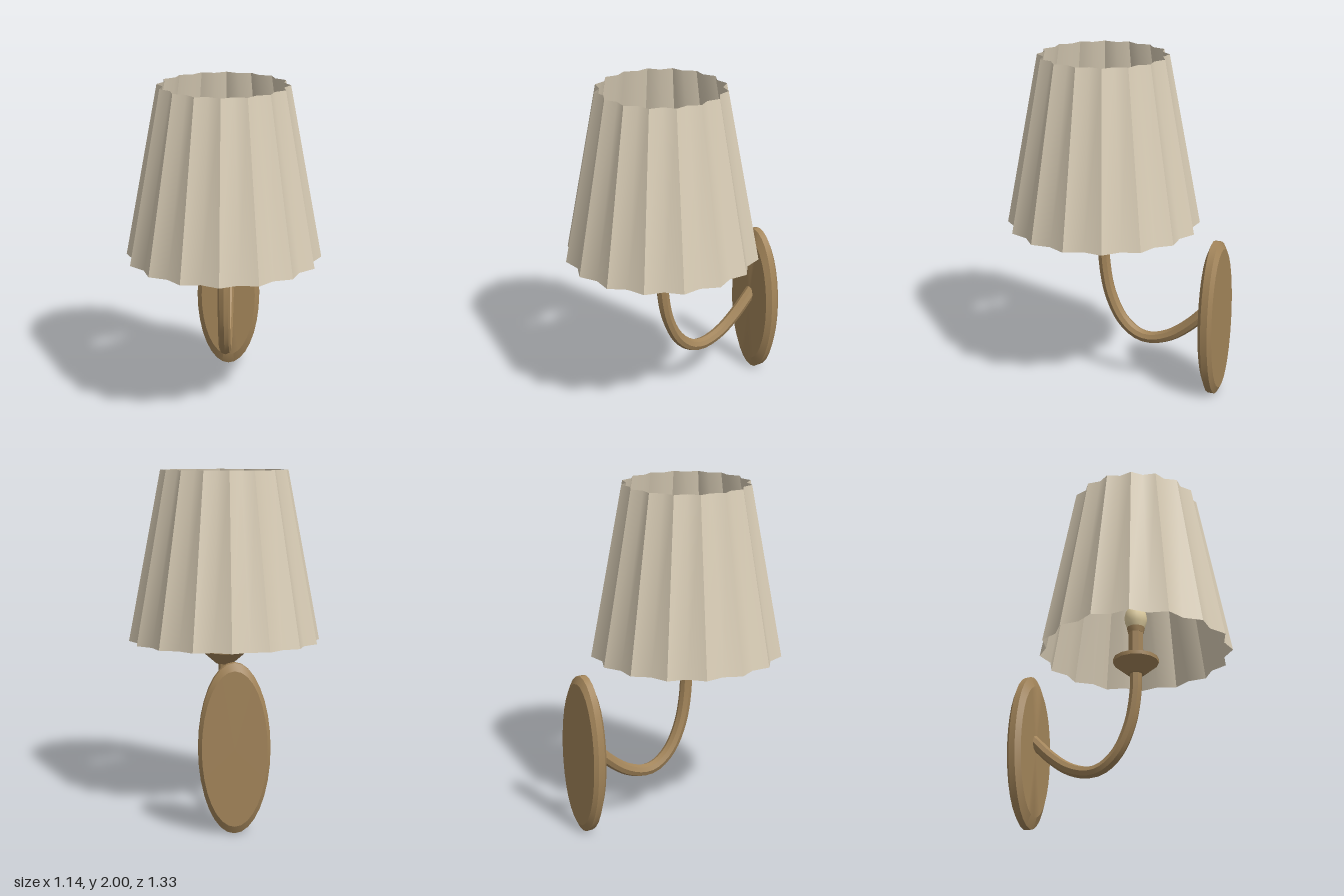
import * as THREE from 'three';
import { toCreasedNormals } from 'three/addons/utils/BufferGeometryUtils.js';

const brass = new THREE.MeshStandardMaterial({ color: 0xa3855a });
brass.name = 'brass';
const linen = new THREE.MeshStandardMaterial({ color: 0xd9cdb6, side: THREE.DoubleSide });
linen.name = 'linen';
const glass = new THREE.MeshStandardMaterial({ color: 0xe2d0a2 });
glass.name = 'warm glass';

const LAMP_Z = 0.09; // axis of the shade, bulb and cup

function lathe(points, sides) {
  return new THREE.LatheGeometry(points.map(([r, y]) => new THREE.Vector2(r, y)), sides);
}

function createPart(name, geometry, material, crease = 0.6) {
  const mesh = new THREE.Mesh(toCreasedNormals(geometry, crease), material);
  mesh.name = name;
  return mesh;
}

// Open cone whose every second edge is pulled inwards to form pleats
function pleatedShade() {
  const pleats = 16, bottom = 0.985, top = 2;
  const g = new THREE.CylinderGeometry(0.38, 0.572, top - bottom, pleats * 2, 1, true);
  const p = g.attributes.position, uv = g.attributes.uv;
  for (let i = 0; i < p.count; i++) {
    const valley = Math.round(uv.getX(i) * pleats * 2) % 2 === 1;
    const k = valley ? (p.getY(i) > 0 ? 0.913 : 0.928) : 1;
    p.setX(i, p.getX(i) * k);
    p.setZ(i, p.getZ(i) * k);
  }
  g.translate(0, (top + bottom) / 2, 0);
  return g;
}

export function createModel() {
  const model = new THREE.Group();
  model.name = 'wallLamp';

  // Oval wall plate with bevelled rims
  const plate = lathe([[0, -0.665], [0.182, -0.665], [0.2, -0.643], [0.2, -0.603], [0.172, -0.577], [0, -0.577]], 32);
  plate.rotateX(Math.PI / 2);
  plate.scale(1, 2.4, 1);
  plate.translate(0, 0.482, 0);
  model.add(createPart('wallPlate', plate, brass, 0.4));

  // Curved arm from the cup down and back to the plate
  const path = new THREE.CatmullRomCurve3([
    [0.88, 0.09], [0.74, 0.087], [0.54, 0.05], [0.38, -0.03], [0.3, -0.13],
    [0.287, -0.22], [0.325, -0.34], [0.41, -0.46], [0.55, -0.6],
  ].map(([y, z]) => new THREE.Vector3(0, y, z)));
  model.add(createPart('arm', new THREE.TubeGeometry(path, 28, 0.037, 8), brass));

  // Everything stacked on the lamp axis
  const lamp = new THREE.Group();
  lamp.name = 'lampHead';
  lamp.position.z = LAMP_Z;
  lamp.add(createPart('cup', lathe([[0, 0.845], [0.05, 0.845], [0.135, 0.918], [0.135, 0.942], [0, 0.942]], 14), brass));
  lamp.add(createPart('socket', lathe([[0, 0.94], [0.046, 0.94], [0.046, 1.12], [0, 1.12]], 8), brass));
  lamp.add(createPart('bulbCollar', lathe([[0, 1.11], [0.046, 1.11], [0.054, 1.145], [0, 1.145]], 12), brass));
  lamp.add(createPart('bulb', lathe([
    [0, 1.14], [0.05, 1.14], [0.064, 1.175], [0.068, 1.21], [0.06, 1.25], [0.042, 1.28], [0.02, 1.297], [0, 1.3],
  ], 12), glass, 0.9));
  lamp.add(createPart('shade', pleatedShade(), linen, 0.72));
  model.add(lamp);

  return model;
}
